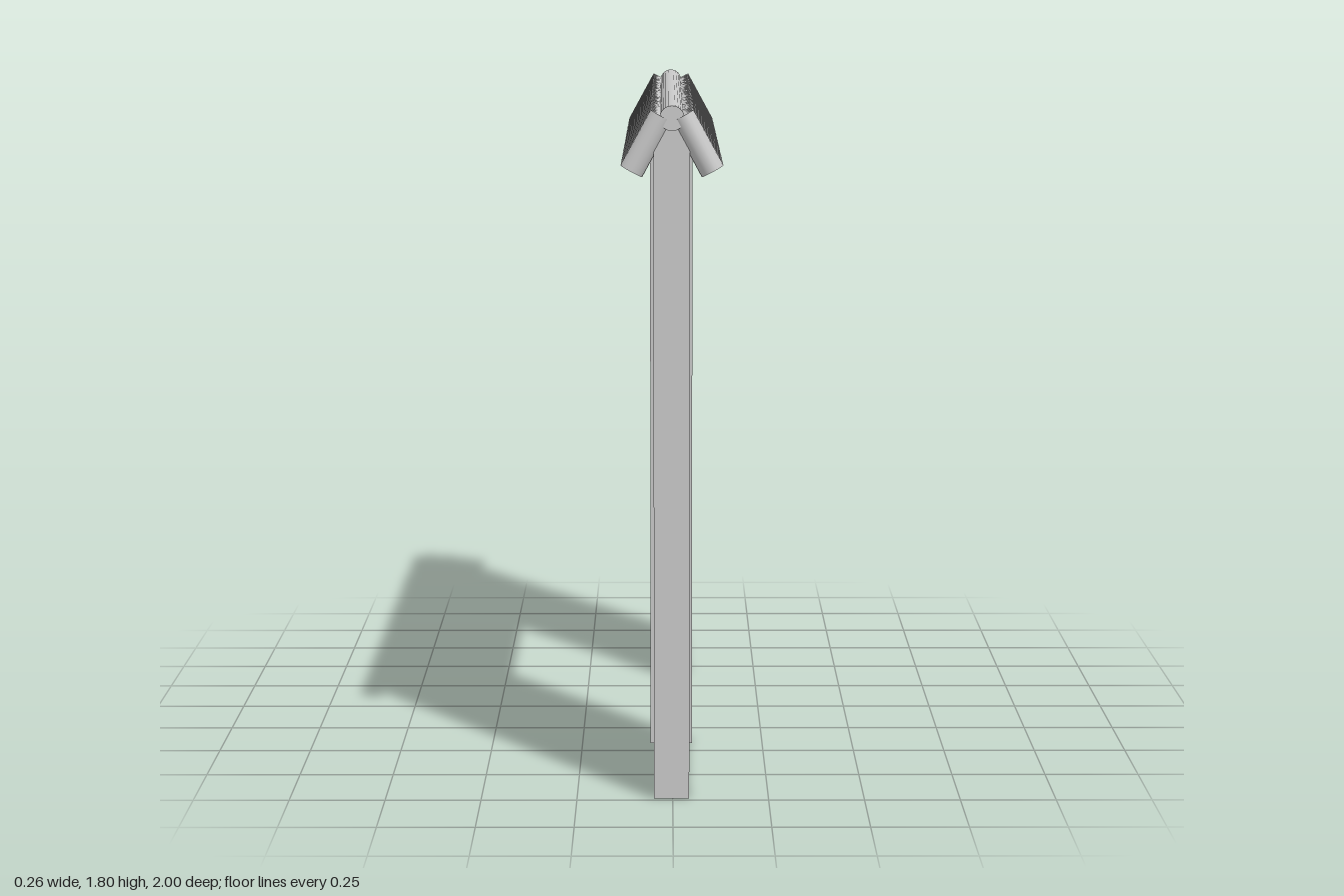
import * as THREE from 'three';

export function createModel() {
  const model = new THREE.Group();
  model.name = 'roofedGateway';
  const grey = new THREE.MeshStandardMaterial({ color: 0xc8c8c8 });
  grey.name = 'plain grey';

  const add = (name, geometry, parent = model) => {
    const mesh = new THREE.Mesh(geometry, grey);
    mesh.name = name;
    parent.add(mesh);
    return mesh;
  };

  // Rectangle path in the (z, y) plane of the wall
  const rect = (path, z0, z1, y0, y1) => {
    path.moveTo(z0, y0);
    path.lineTo(z1, y0);
    path.lineTo(z1, y1);
    path.lineTo(z0, y1);
    path.closePath();
    return path;
  };

  // Upright slab with window openings cut right through it
  const centreX = -0.003;
  const slab = (name, z0, z1, y0, thickness, columns = [], rows = []) => {
    const shape = rect(new THREE.Shape(), z0, z1, y0, 1.745);
    for (const [a, b] of columns)
      for (const [c, d] of rows) shape.holes.push(rect(new THREE.Path(), a, b, c, d));
    const geometry = new THREE.ExtrudeGeometry(shape, { depth: thickness, bevelEnabled: false });
    geometry.rotateY(-Math.PI / 2);
    geometry.translate(centreX + thickness / 2, 0, 0);
    return add(name, geometry);
  };

  // Side walls, each with four small windows
  const sideRows = [[1.46, 1.497], [1.53, 1.572]];
  slab('frontWall', 0.42, 0.985, 0, 0.092, [[0.617, 0.681], [0.713, 0.775]], sideRows);
  slab('backWall', -0.975, -0.48, 0, 0.092, [[-0.804, -0.745], [-0.713, -0.654]], sideRows);

  // Lintel over the opening, with four wide windows
  slab('lintel', -0.432, 0.375, 1.1, 0.092,
    [[-0.166, -0.054], [-0.011, 0.102]], [[1.465, 1.502], [1.535, 1.572]]);

  // Slightly thicker posts framing the opening
  slab('frontPost', 0.375, 0.42, 0, 0.115);
  slab('backPost', -0.48, -0.432, 0, 0.115);

  // Rows of round roof tiles sloping down both sides
  const count = 31, pitch = 2 / count;
  const tile = new THREE.CylinderGeometry(0.0315, 0.0315, 0.16, 20);
  const tilt = Math.atan2(0.48, 0.88);
  for (const side of [1, -1]) {
    const row = new THREE.Group();
    row.name = side > 0 ? 'leftRoofTiles' : 'rightRoofTiles';
    for (let i = 0; i < count; i++) {
      const mesh = add('roofTile', tile, row);
      mesh.position.set(side * 0.065 - 0.002, 1.708, -1 + pitch * (i + 0.5));
      mesh.rotation.z = side * tilt;
    }
    model.add(row);
  }

  // Ridge pole along the top
  const ridge = new THREE.CylinderGeometry(0.032, 0.032, 1.985, 24);
  ridge.rotateX(Math.PI / 2);
  add('ridgePole', ridge).position.set(-0.002, 1.773, 0.002);

  return model;
}
